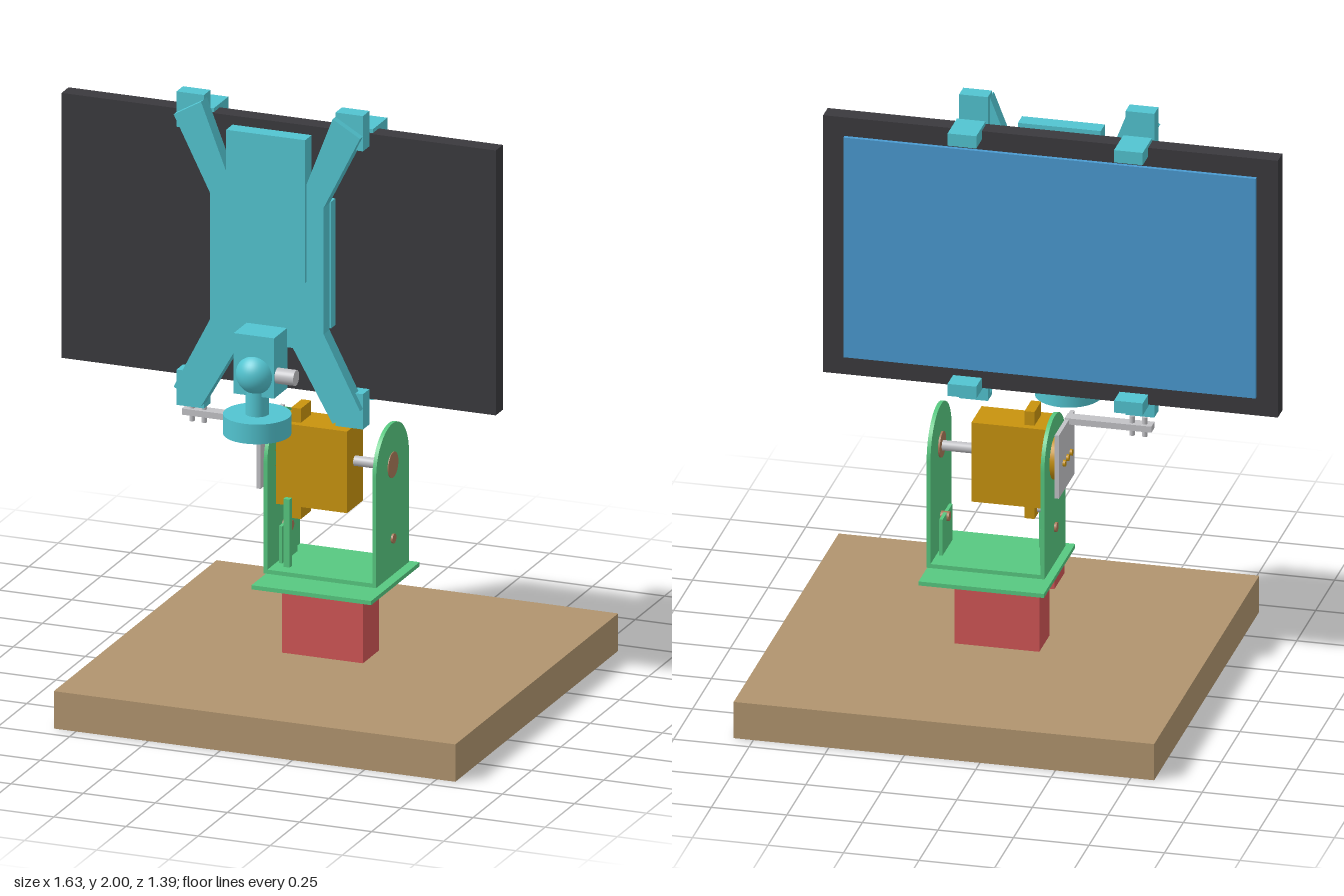
import * as THREE from 'three';

const mat = (name, color) => {
  const m = new THREE.MeshStandardMaterial({ color });
  m.name = name;
  return m;
};

export function createModel() {
  const model = new THREE.Group();
  model.name = 'motorisedScreenMount';
  const wood = mat('wood', 0xb0946e), red = mat('red', 0xd05555), green = mat('green', 0x57c880);
  const amber = mat('amber', 0xc8930e), grey = mat('lightGrey', 0xc2c2c6), teal = mat('teal', 0x52c4d0);
  const dark = mat('charcoal', 0x3a393d), blue = mat('screenBlue', 0x4a9ad0), bronze = mat('bronze', 0xa87a58);

  const add = (name, geo, m, x = 0, y = 0, z = 0) => {
    const mesh = new THREE.Mesh(geo, m);
    mesh.name = name;
    mesh.position.set(x, y, z);
    model.add(mesh);
    return mesh;
  };
  // Box given by its limits on each axis
  const box = (name, m, x0, x1, y0, y1, z0, z1) =>
    add(name, new THREE.BoxGeometry(x1 - x0, y1 - y0, z1 - z0), m, (x0 + x1) / 2, (y0 + y1) / 2, (z0 + z1) / 2);
  // Cylinder along x, and cylinder along y
  const rodX = (name, m, r, x0, x1, y, z) =>
    add(name, new THREE.CylinderGeometry(r, r, x1 - x0, 32).rotateZ(Math.PI / 2), m, (x0 + x1) / 2, y, z);
  const rodY = (name, m, r, y0, y1, x, z) =>
    add(name, new THREE.CylinderGeometry(r, r, y1 - y0, 40), m, x, (y0 + y1) / 2, z);

  // Base and pan servo
  box('baseBoard', wood, -0.577, 0.815, 0, 0.127, -0.695, 0.695);
  box('panServo', red, -0.04, 0.24, 0.127, 0.38, -0.068, 0.068);
  box('panServoFlange', red, -0.09, 0.29, 0.352, 0.38, -0.068, 0.068);
  box('turnPlate', green, -0.09, 0.325, 0.38, 0.394, -0.207, 0.207);
  rodY('panHorn', amber, 0.068, 0.394, 0.415, 0.12, 0);

  // Bracket: floor, round-topped cheeks, inner tabs and bolts
  box('bracketFloor', green, -0.063, 0.302, 0.415, 0.429, -0.14, 0.14);
  const cheek = new THREE.Shape();
  cheek.moveTo(-0.14, 0.415);
  cheek.lineTo(0.14, 0.415);
  cheek.lineTo(0.14, 0.79);
  cheek.absarc(0, 0.79, 0.14, 0, Math.PI, false);
  cheek.closePath();
  const cheekGeo = new THREE.ExtrudeGeometry(cheek, { depth: 0.013, bevelEnabled: false, curveSegments: 32 });
  cheekGeo.rotateY(Math.PI / 2);
  for (const [x, tab] of [[-0.075, -0.052], [0.302, 0.281]]) {
    add('bracketCheek', cheekGeo, green, x, 0, 0);
    box('bracketTab', green, tab, tab + 0.011, 0.394, 0.555, -0.066, 0.066);
    rodX('bracketBolt', bronze, 0.016, Math.min(x, tab) - 0.008, Math.max(x, tab) + 0.02, 0.54, 0);
  }
  box('supportStrip', green, -0.025, -0.003, 0.429, 0.66, 0.075, 0.095);

  // Tilt servo with its axle and horn
  box('tiltServo', amber, -0.062, 0.185, 0.63, 0.907, -0.068, 0.068);
  box('tiltServoFlange', amber, -0.018, 0.015, 0.58, 0.955, -0.044, 0.044);
  rodX('tiltServoScrew', grey, 0.012, -0.048, -0.018, 0.6, 0);
  rodX('tiltAxle', grey, 0.017, 0.185, 0.302, 0.787, 0);
  rodX('axleBearing', bronze, 0.043, 0.296, 0.318, 0.79, 0);
  rodX('tiltHorn', amber, 0.074, -0.1, -0.062, 0.787, 0);

  // Tilt lever: square plate, screws, arm and pegs
  box('leverPlate', grey, -0.114, -0.1, 0.687, 0.908, -0.105, 0.105);
  for (const z of [-0.045, 0, 0.045]) rodX('leverScrew', amber, 0.011, -0.122, -0.113, 0.787, z);
  box('leverArm', grey, -0.387, -0.1, 0.891, 0.912, 0.028, 0.07);
  for (const x of [-0.36, -0.318]) rodY('leverPeg', grey, 0.009, 0.868, 0.935, x, 0.049);

  // Screen unit
  box('screenHousing', dark, -0.82, 0.685, 1.015, 1.915, -0.03, 0.03);
  box('screenPanel', blue, -0.75, 0.615, 1.08, 1.85, -0.044, -0.03);

  // X-shaped holder, outlined by one half and mirrored about its centre line
  const cx = -0.068;
  const half = [[0.137, 1.75], [0.228, 1.985], [0.323, 1.93], [0.197, 1.68],
    [0.197, 1.25], [0.323, 1.005], [0.228, 0.95], [0.09, 1.19]];
  const outline = [...half, ...half.map(([x, y]) => [-x, y]).reverse()].map(([x, y]) => new THREE.Vector2(x, y));
  add('holderFrame', new THREE.ExtrudeGeometry(new THREE.Shape(outline), { depth: 0.05, bevelEnabled: false }),
    teal, cx, 0, 0.08);
  box('holderSpine', teal, cx - 0.137, cx + 0.137, 1.42, 1.905, 0.085, 0.14);
  box('holderBackPad', teal, cx - 0.155, cx + 0.197, 1.25, 1.68, 0.03, 0.066);
  box('holderSpacer', teal, cx - 0.12, cx + 0.12, 1.3, 1.63, 0.06, 0.085);

  // Leg tips and screen clips at the four corners
  for (const s of [-1, 1]) {
    const a = cx + s * 0.228, b = cx + s * 0.323;
    const x0 = Math.min(a, b), x1 = Math.max(a, b);
    box('upperLegTip', teal, x0, x1, 1.88, 2, 0.05, 0.105);
    box('lowerLegTip', teal, x0, x1, 0.935, 1.055, 0.05, 0.105);
    box('upperClip', teal, x0, x1, 1.885, 1.928, -0.103, 0.02);
    box('lowerClip', teal, x0, x1, 1.008, 1.05, -0.103, 0.02);
  }

  // Ball joint under the holder
  box('jointBlock', teal, cx - 0.07, cx + 0.07, 1.05, 1.255, 0.125, 0.24);
  add('jointBall', new THREE.SphereGeometry(0.069, 40, 28), teal, cx, 1.12, 0.212);
  rodX('jointPin', grey, 0.026, cx + 0.06, 0.067, 1.12, 0.212);
  rodY('jointNeck', teal, 0.038, 0.975, 1.08, cx, 0.212);
  rodY('jointFoot', teal, 0.11, 0.915, 0.982, cx, 0.212);

  // Centre the footprint
  model.position.set(0, 0, 0);
  return model;
}
